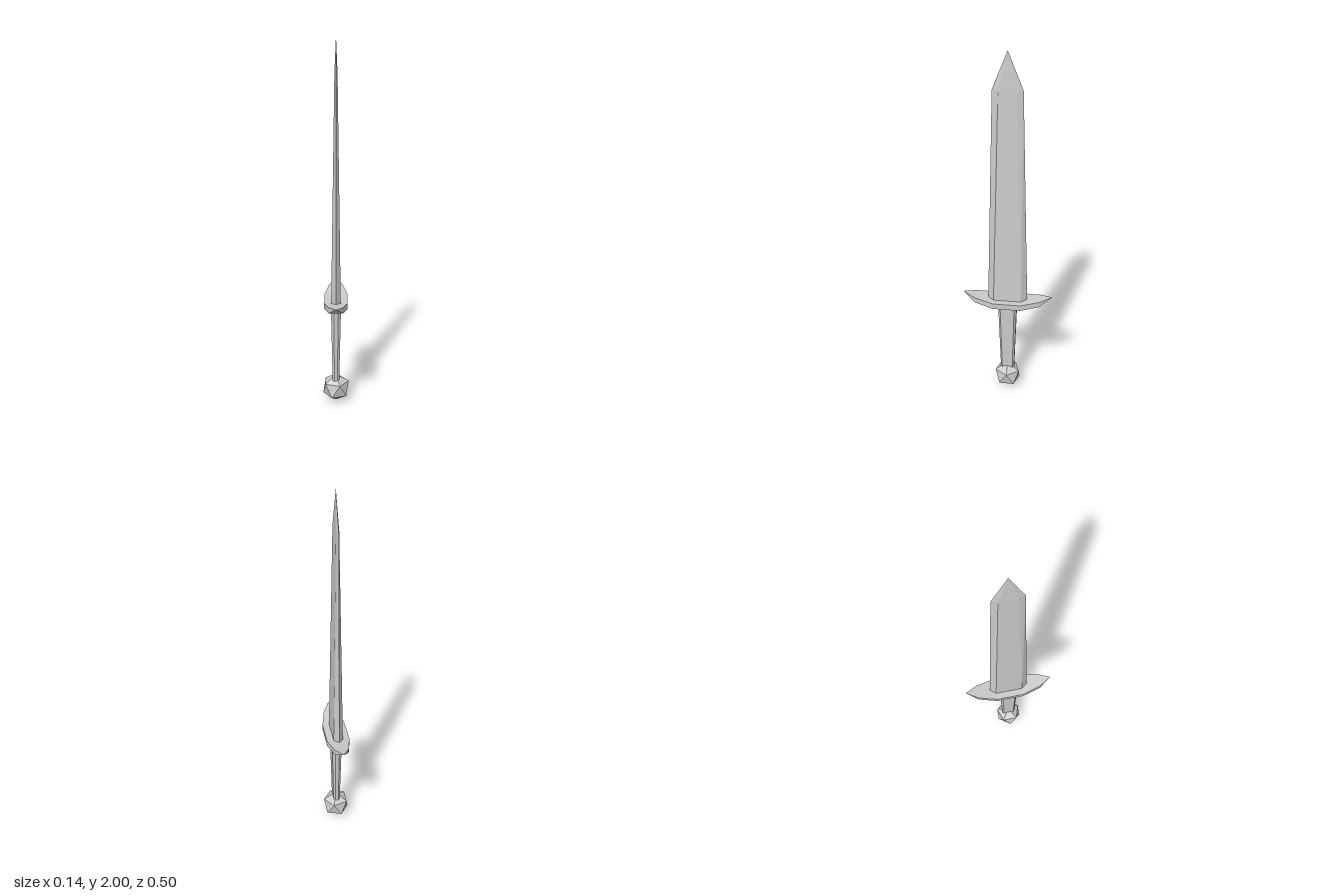
import * as THREE from 'three';
import { ConvexGeometry } from 'three/addons/geometries/ConvexGeometry.js';

// Skin a list of equal-sized rings of Vector3 and close both ends.
// Rings run counter-clockwise seen from the side the loft travels towards.
function loft(rings) {
  const out = [];
  const tri = (a, b, c) => {
    const area = b.clone().sub(a).cross(c.clone().sub(a)).length();
    if (area > 1e-8) for (const p of [a, b, c]) out.push(p.x, p.y, p.z);
  };
  const n = rings[0].length;
  for (let i = 0; i < rings.length - 1; i++) {
    const a = rings[i], b = rings[i + 1];
    for (let j = 0; j < n; j++) {
      const k = (j + 1) % n;
      tri(a[j], a[k], b[k]);
      tri(a[j], b[k], b[j]);
    }
  }
  const first = rings[0], last = rings[rings.length - 1];
  for (let j = 1; j < n - 1; j++) {
    tri(first[0], first[j + 1], first[j]);
    tri(last[0], last[j], last[j + 1]);
  }
  const geometry = new THREE.BufferGeometry();
  geometry.setAttribute('position', new THREE.Float32BufferAttribute(out, 3));
  geometry.computeVertexNormals();
  return geometry;
}

const ring = (y, points) => points.map(([x, z]) => new THREE.Vector3(x, y, z));

// Flat-sided blade section: flat cheeks, bevelled to a sharp edge
const bladeRing = (y, x, flat, edge) =>
  ring(y, [[0, edge], [x, flat], [x, -flat], [0, -edge], [-x, -flat], [-x, flat]]);

// Eight-sided grip section
const gripRing = (y, x, xIn, z, zIn) =>
  ring(y, [[xIn, z], [x, zIn], [x, -zIn], [xIn, -z], [-xIn, -z], [-x, -zIn], [-x, zIn], [-xIn, z]]);

// Rectangular crossguard section
const guardRing = (z, x, bottom, top) =>
  [[-x, bottom], [x, bottom], [x, top], [-x, top]].map(([px, py]) => new THREE.Vector3(px, py, z));

export function createModel() {
  const group = new THREE.Group();
  const steel = new THREE.MeshStandardMaterial({ color: 0xcccccc });
  steel.name = 'pale steel';
  steel.flatShading = true;

  const add = (name, geometry) => {
    const mesh = new THREE.Mesh(geometry, steel);
    mesh.name = name;
    group.add(mesh);
    return mesh;
  };

  // Blade tapering to a point
  add('blade', loft([
    bladeRing(0.6, 0.026, 0.077, 0.11),
    bladeRing(1.81, 0.008, 0.046, 0.077),
    bladeRing(2, 0, 0, 0),
  ]));

  // Crossguard with both arms swept up to points
  add('crossguard', loft([
    guardRing(-0.25, 0, 0.642, 0.642),
    guardRing(-0.182, 0.038, 0.597, 0.628),
    guardRing(-0.077, 0.063, 0.579, 0.612),
    guardRing(0.077, 0.063, 0.579, 0.612),
    guardRing(0.182, 0.038, 0.597, 0.628),
    guardRing(0.25, 0, 0.642, 0.642),
  ]));

  // Grip, wider towards the guard
  add('grip', loft([
    gripRing(0.12, 0.018, 0.008, 0.038, 0.029),
    gripRing(0.59, 0.028, 0.012, 0.053, 0.04),
  ]));

  // Twenty-sided pommel standing on one corner
  const r = 0.08, ringRadius = r * 2 / Math.sqrt(5), ringHeight = r / Math.sqrt(5);
  const corners = [new THREE.Vector3(0, r, 0), new THREE.Vector3(0, -r, 0)];
  for (let i = 0; i < 5; i++) {
    const a = i * Math.PI * 2 / 5;
    const x = ringRadius * Math.cos(a), z = ringRadius * Math.sin(a);
    corners.push(new THREE.Vector3(x, ringHeight, z), new THREE.Vector3(-x, -ringHeight, z));
  }
  add('pommel', new ConvexGeometry(corners)).position.y = r;

  return group;
}
